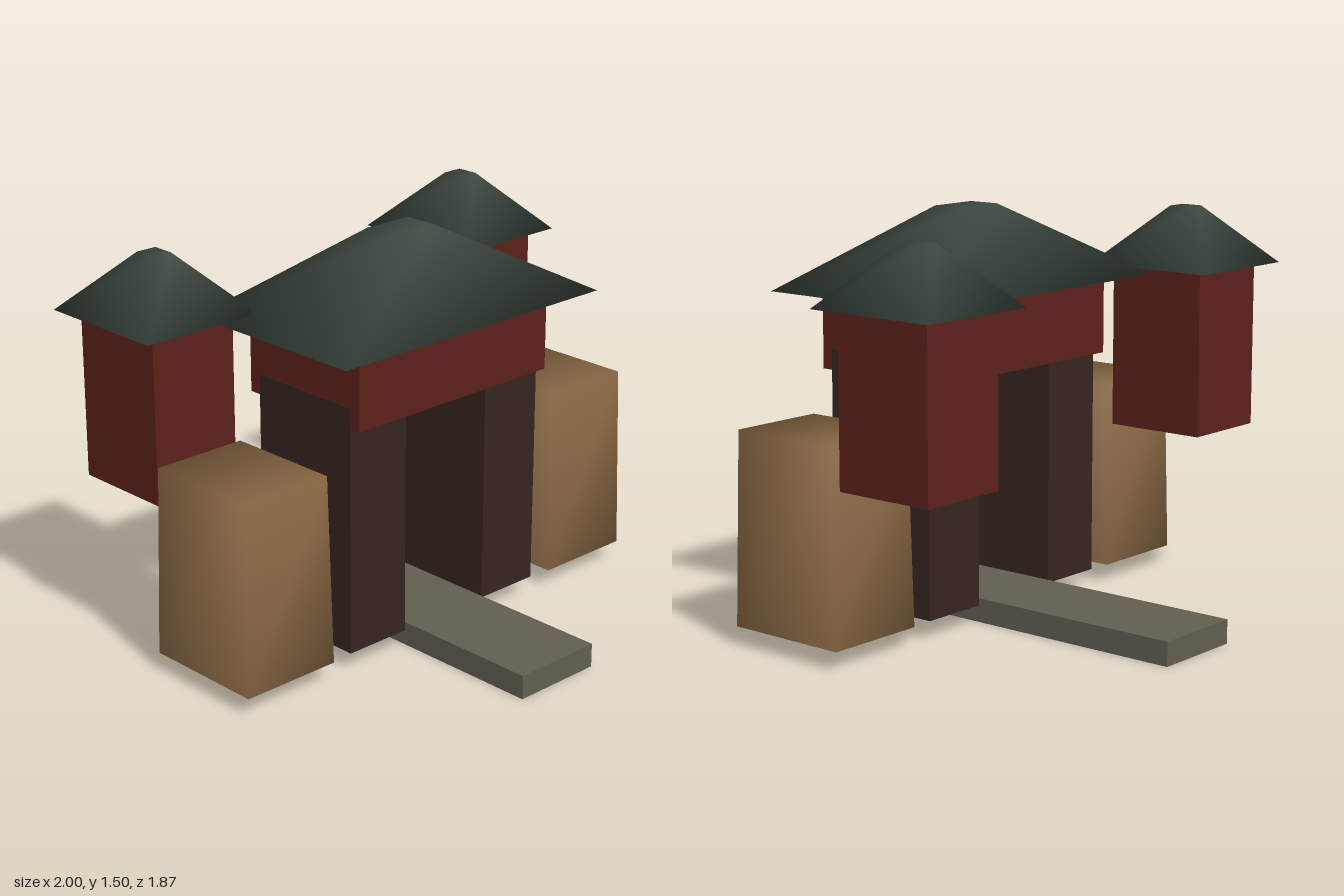
import * as THREE from 'three';
import { mergeVertices } from 'three/addons/utils/BufferGeometryUtils.js';

const mat = (color) => new THREE.MeshStandardMaterial({ color });
const materials = {
  stone: mat(0x625e50),
  wood: mat(0x35251e),
  red: mat(0x5c211b),
  roof: mat(0x3b473e),
  rock: mat(0x8f6d47),
};

// Box given by its [min, max] ranges
function block(name, material, [x0, x1], [y0, y1], [z0, z1]) {
  const mesh = new THREE.Mesh(new THREE.BoxGeometry(x1 - x0, y1 - y0, z1 - z0), material);
  mesh.position.set((x0 + x1) / 2, (y0 + y1) / 2, (z0 + z1) / 2);
  mesh.name = name;
  return mesh;
}

// Box whose top is scaled to topX by topZ, with soft normals across its shared corners
function taperedBlock(name, material, xr, yr, zr, topX, topZ) {
  const mesh = block(name, material, xr, yr, zr);
  let geometry = mesh.geometry;
  const p = geometry.attributes.position;
  const sx = topX / (xr[1] - xr[0]);
  const sz = topZ / (zr[1] - zr[0]);
  for (let i = 0; i < p.count; i++) {
    if (p.getY(i) > 0) {
      p.setX(i, p.getX(i) * sx);
      p.setZ(i, p.getZ(i) * sz);
    }
  }
  geometry.deleteAttribute('normal');
  geometry.deleteAttribute('uv');
  geometry = mergeVertices(geometry);
  geometry.computeVertexNormals();
  mesh.geometry = geometry;
  return mesh;
}

// Orders a mirrored range from low to high
const mirror = (side, a, b) => (side > 0 ? [a, b] : [-b, -a]);

export function createModel() {
  const model = new THREE.Group();
  model.name = 'gatehouse';

  // Path through the gate
  model.add(block('path', materials.stone, [-0.18, 0.18], [0, 0.09], [-0.933, 0.933]));

  // Central gate: lintel and hipped roof
  model.add(block('lintel', materials.red, [-0.465, 0.465], [0.925, 1.22], [-0.15, 0.413]));
  model.add(taperedBlock('gateRoof', materials.roof,
    [-0.622, 0.622], [1.215, 1.503], [-0.257, 0.517], 0.2, 0.125));

  // Mirrored pillars, rocks and towers
  for (const side of [1, -1]) {
    const prefix = side > 0 ? 'left' : 'right';
    model.add(block(prefix + 'Pillar', materials.wood,
      mirror(side, 0.2, 0.468), [0.07, 1.003], [-0.1, 0.368]));
    model.add(taperedBlock(prefix + 'Rock', materials.rock,
      mirror(side, 0.558, 0.955), [0.07, 0.78], [-0.107, 0.378], 0.372, 0.455));
    model.add(block(prefix + 'Tower', materials.red,
      mirror(side, 0.577, 0.932), [0.627, 1.255], [-0.51, -0.112]));
    model.add(taperedBlock(prefix + 'TowerRoof', materials.roof,
      mirror(side, 0.51, 1), [1.25, 1.468], [-0.577, -0.05], 0.08, 0.085));
  }
  return model;
}
